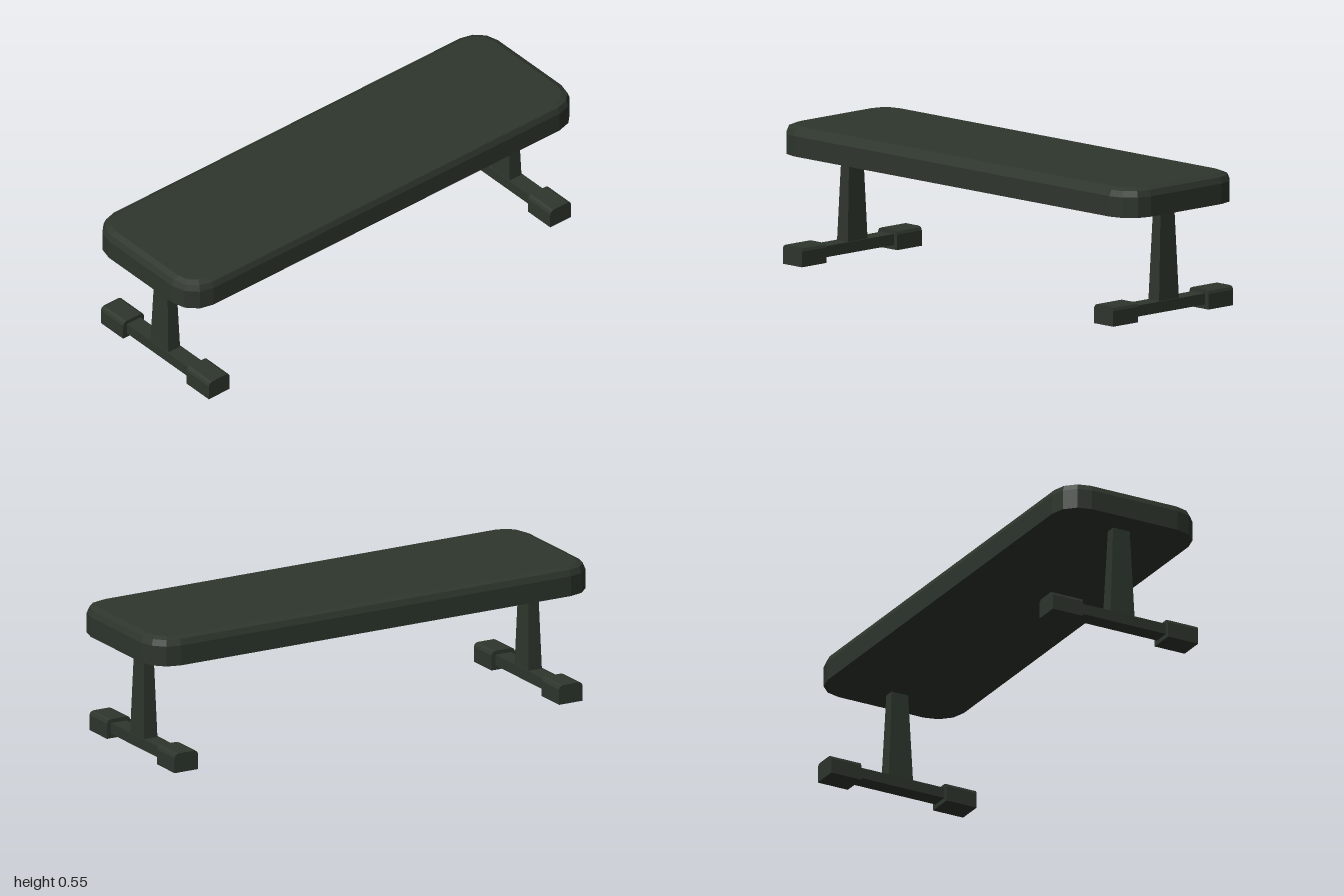
import * as THREE from 'three';

const green = new THREE.MeshStandardMaterial({ color: 0x2e362d, flatShading: true });
green.name = 'darkGreen';

function add(parent, geometry, name, x = 0, y = 0, z = 0) {
  const mesh = new THREE.Mesh(geometry, green);
  mesh.name = name;
  mesh.position.set(x, y, z);
  parent.add(mesh);
  return mesh;
}

// Rounded rectangle outline, each corner in three straight steps
function padRing(inset) {
  const r = 0.115, points = [];
  for (let corner = 0; corner < 4; corner++) {
    const sx = corner === 0 || corner === 3 ? 1 : -1;
    const sz = corner < 2 ? 1 : -1;
    for (let i = 0; i <= 3; i++) {
      const a = corner * Math.PI / 2 + i * Math.PI / 6;
      points.push([sx * (1 - r) + (r - inset) * Math.cos(a), sz * (0.307 - r) + (r - inset) * Math.sin(a)]);
    }
  }
  return points;
}

// Pad: stacked outlines, with a bevel around the top edge
function padGeometry() {
  const levels = [[0, 0.43], [0, 0.511], [0.01, 0.535], [0.034, 0.545]];
  const positions = [], index = [], n = 16;
  for (const [inset, y] of levels) for (const [x, z] of padRing(inset)) positions.push(x, y, z);
  for (let l = 0; l < levels.length - 1; l++) {
    for (let i = 0; i < n; i++) {
      const a = l * n + i, b = l * n + (i + 1) % n;
      index.push(a, a + n, b, b, a + n, b + n);
    }
  }
  const top = (levels.length - 1) * n;
  for (let i = 1; i < n - 1; i++) {
    index.push(0, i, i + 1);
    index.push(top, top + i + 1, top + i);
  }
  const geometry = new THREE.BufferGeometry();
  geometry.setAttribute('position', new THREE.Float32BufferAttribute(positions, 3));
  geometry.setIndex(index);
  const flat = geometry.toNonIndexed();
  flat.computeVertexNormals();
  return flat;
}

// Post: a box that narrows towards the top
function postGeometry() {
  const geometry = new THREE.BoxGeometry(0.06, 0.368, 0.108);
  const p = geometry.attributes.position;
  for (let i = 0; i < p.count; i++) {
    if (p.getY(i) > 0) p.setXYZ(i, p.getX(i) * 0.7, p.getY(i), p.getZ(i) * 0.69);
  }
  geometry.computeVertexNormals();
  return geometry;
}

// Foot: a block with softened upper edges
function footGeometry() {
  const w = 0.0535, h = 0.078;
  const shape = new THREE.Shape();
  shape.moveTo(-w, 0);
  shape.lineTo(w, 0);
  shape.lineTo(w, h - 0.016);
  shape.lineTo(w - 0.005, h - 0.005);
  shape.lineTo(w - 0.016, h);
  shape.lineTo(-w + 0.016, h);
  shape.lineTo(-w + 0.005, h - 0.005);
  shape.lineTo(-w, h - 0.016);
  shape.closePath();
  const geometry = new THREE.ExtrudeGeometry(shape, { depth: 0.135, bevelEnabled: false });
  geometry.translate(0, 0, -0.0675);
  return geometry;
}

export function createModel() {
  const bench = new THREE.Group();
  bench.name = 'bench';
  add(bench, padGeometry(), 'pad');

  // One stand near each end
  const post = postGeometry(), foot = footGeometry();
  const bar = new THREE.BoxGeometry(0.07, 0.044, 0.386);
  for (const side of [1, -1]) {
    const stand = new THREE.Group();
    stand.name = side > 0 ? 'leftStand' : 'rightStand';
    stand.position.x = side * 0.873;
    add(stand, post, 'post', 0, 0.246, 0);
    add(stand, bar, 'crossbar', 0, 0.04, 0);
    add(stand, foot, 'frontFoot', 0, 0, 0.2595);
    add(stand, foot, 'backFoot', 0, 0, -0.2595);
    bench.add(stand);
  }
  return bench;
}
